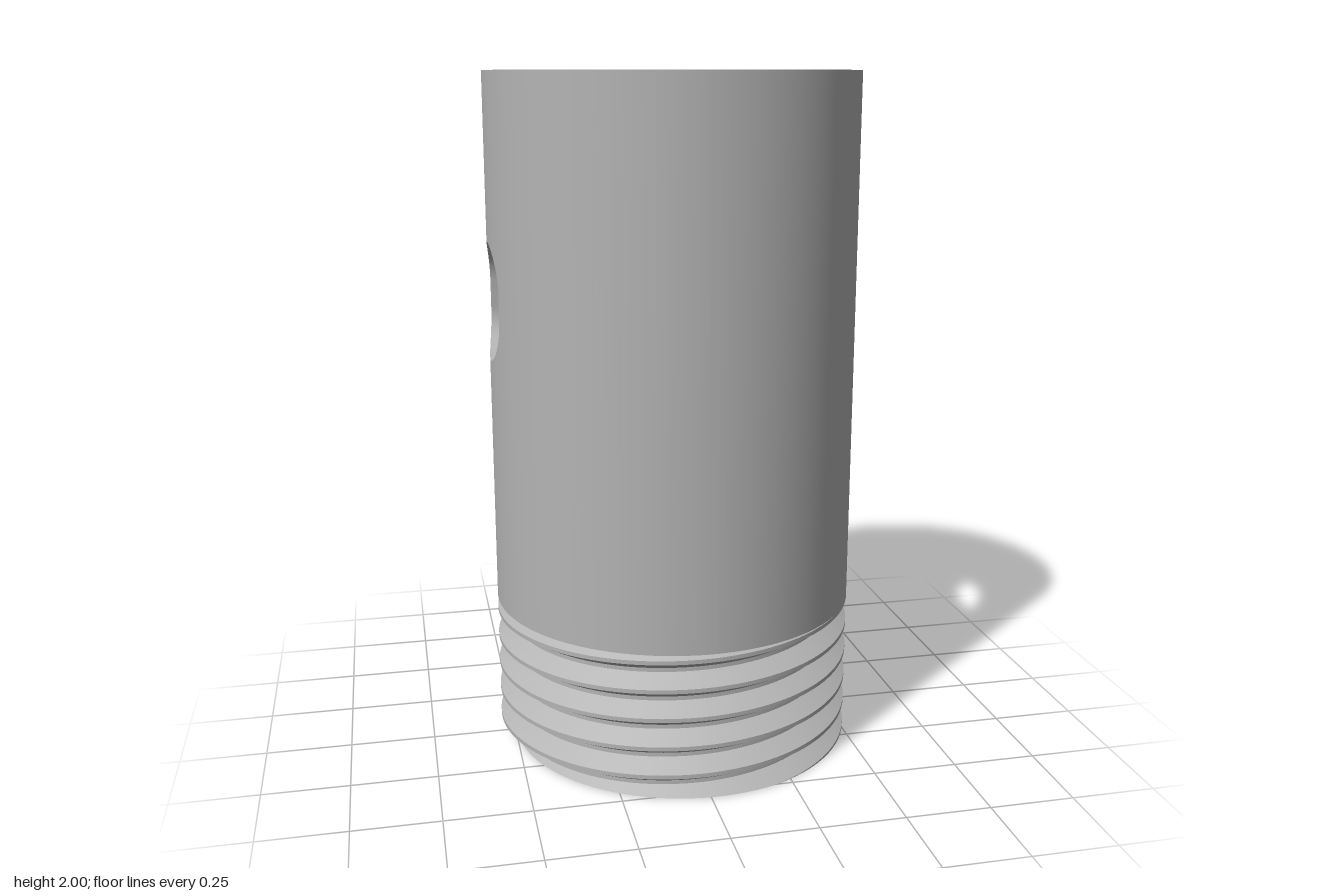
import * as THREE from 'three';
import { toCreasedNormals } from 'three/addons/utils/BufferGeometryUtils.js';

const R = 0.54, BORE = 0.445, TOP = 2, SHOULDER = 0.44;   // barrel
const SLOT_W = 0.132, SLOT_S = 0.041, SLOT_Y = 1.352;     // slot half width, straight half, centre
const PITCH = 0.0865, ROOT = 0.488, CREST_Y = 0.335;      // thread
const KEY_W = 0.022, KEY_D = 0.012;                       // small grooves in the bore

// Bore radius at an angle measured from +z towards +x, with the two grooves
function boreRadius(a) {
  const s = Math.abs(BORE * Math.sin(a)) / KEY_W;
  return BORE + (s < 1 ? KEY_D * Math.sqrt(1 - s * s) : 0);
}

// Column angles, aligned with the slot edges and the grooves
function columns(r) {
  const list = [];
  for (let i = 0; i < 96; i++) {
    const a = (i / 96) * Math.PI * 2;
    if (Math.abs(r * Math.cos(a)) > SLOT_W + 0.005) list.push(a);
  }
  for (let j = 0; j <= 24; j++) {
    const a = Math.acos((SLOT_W * Math.cos((Math.PI * j) / 24)) / r);
    list.push(a, 2 * Math.PI - a);
  }
  for (let j = 0; j <= 10; j++) {
    const a = Math.asin((KEY_W * Math.cos((Math.PI * j) / 10)) / BORE);
    list.push((a + 2 * Math.PI) % (2 * Math.PI), Math.PI + a);
  }
  list.sort((a, b) => a - b);
  const out = list.filter((a, i) => i === 0 || a - list[i - 1] > 1e-4);
  out.push(out[0] + 2 * Math.PI);
  return out;
}

// Triangle collector that skips degenerate faces
function addQuad(pos, a, b, c, d) {
  for (const t of [[a, b, c], [a, c, d]]) {
    const n = t[1].clone().sub(t[0]).cross(t[2].clone().sub(t[0]));
    if (n.length() > 1e-9) t.forEach((p) => pos.push(p.x, p.y, p.z));
  }
}

const polar = (a, [r, y]) => new THREE.Vector3(r * Math.sin(a), y, r * Math.cos(a));

// Sweep a profile around the axis; profile(a) gives [radius, y] points
function sweep(pos, cols, profile, keep = () => true) {
  for (let i = 0; i < cols.length - 1; i++) {
    const a = cols[i], b = cols[i + 1];
    if (!keep((a + b) / 2)) continue;
    const p = profile(a), q = profile(b);
    for (let k = 0; k < p.length - 1; k++) {
      addQuad(pos, polar(a, p[k]), polar(b, q[k]), polar(b, q[k + 1]), polar(a, p[k + 1]));
    }
  }
}

function finish(pos) {
  const g = new THREE.BufferGeometry();
  g.setAttribute('position', new THREE.Float32BufferAttribute(pos, 3));
  return toCreasedNormals(g, 0.5);
}

// Cylindrical wall pierced by both slots; ends give the bottom and top heights
function slottedWall(r, radius, bottom, top, inward) {
  const pos = [], cols = columns(r);
  const inSlot = (a) => Math.abs(r * Math.cos(a)) < SLOT_W;
  const half = (a) => SLOT_S + Math.sqrt(Math.max(0, SLOT_W ** 2 - (r * Math.cos(a)) ** 2));
  const span = (lo, hi) => (a) => {
    const p = [[radius(a), lo(a)], [radius(a), hi(a)]];
    return inward ? p.reverse() : p;
  };
  sweep(pos, cols, span(bottom, top), (a) => !inSlot(a));
  sweep(pos, cols, span(bottom, (a) => SLOT_Y - half(a)), inSlot);
  sweep(pos, cols, span((a) => SLOT_Y + half(a), top), inSlot);
  return finish(pos);
}

// Height where the top chamfer meets the bore
const chamferY = (a) => TOP - (0.5 - boreRadius(a)) * 0.9;

// Right-hand helical thread, cut off flat at the base and the shoulder
function threadGeometry() {
  const flat = 0.006, rootAt = PITCH / 2 - 0.006;
  const radiusAt = (d) => {
    const t = Math.abs(d - PITCH * Math.round(d / PITCH));
    return R - (R - ROOT) * THREE.MathUtils.clamp((t - flat) / (rootAt - flat), 0, 1);
  };
  const profile = (a) => {
    const start = CREST_Y + (PITCH * a) / (2 * Math.PI);
    const pts = [[boreRadius(a), 0]];
    for (let k = -7; k <= 3; k++) {
      for (const d of [-rootAt, -flat, flat, rootAt]) {
        const y = THREE.MathUtils.clamp(start + k * PITCH + d, 0, SHOULDER);
        pts.push([radiusAt(y - start), y]);
      }
    }
    pts.push([R, SHOULDER]);
    return pts;
  };
  const pos = [];
  sweep(pos, columns(BORE), profile);
  return finish(pos);
}

// Flat top ring and inner chamfer
function rimGeometry() {
  const pos = [];
  sweep(pos, columns(BORE), (a) => [[R, TOP], [0.5, TOP], [boreRadius(a), chamferY(a)]]);
  return finish(pos);
}

// Wall thickness shown inside one slot
function slotGeometry() {
  const pos = [], loop = [];
  for (const s of [1, -1]) {
    for (let j = 0; j <= 24; j++) {
      const t = (Math.PI * j) / 24;
      loop.push([-s * SLOT_W * Math.cos(t), SLOT_Y + s * (SLOT_S + SLOT_W * Math.sin(t))]);
    }
  }
  const at = (r, [z, y]) => new THREE.Vector3(Math.sqrt(r * r - z * z), y, z);
  loop.forEach((p, i) => {
    const q = loop[(i + 1) % loop.length];
    addQuad(pos, at(R, p), at(R, q), at(BORE, q), at(BORE, p));
  });
  return finish(pos);
}

export function createModel() {
  const model = new THREE.Group();
  model.name = 'threadedSleeve';
  const grey = new THREE.MeshStandardMaterial({ color: 0xb4b4b4 });
  grey.name = 'plain grey';

  const add = (name, geometry) => {
    const mesh = new THREE.Mesh(geometry, grey);
    mesh.name = name;
    model.add(mesh);
    return mesh;
  };

  add('barrel', slottedWall(R, () => R, () => SHOULDER, () => TOP, false));
  add('bore', slottedWall(BORE, boreRadius, () => 0, chamferY, true));
  add('topRim', rimGeometry());
  add('threadedEnd', threadGeometry());

  // Slots on both sides
  const slot = slotGeometry();
  add('leftSlotWall', slot);
  add('rightSlotWall', slot).rotation.y = Math.PI;
  return model;
}
